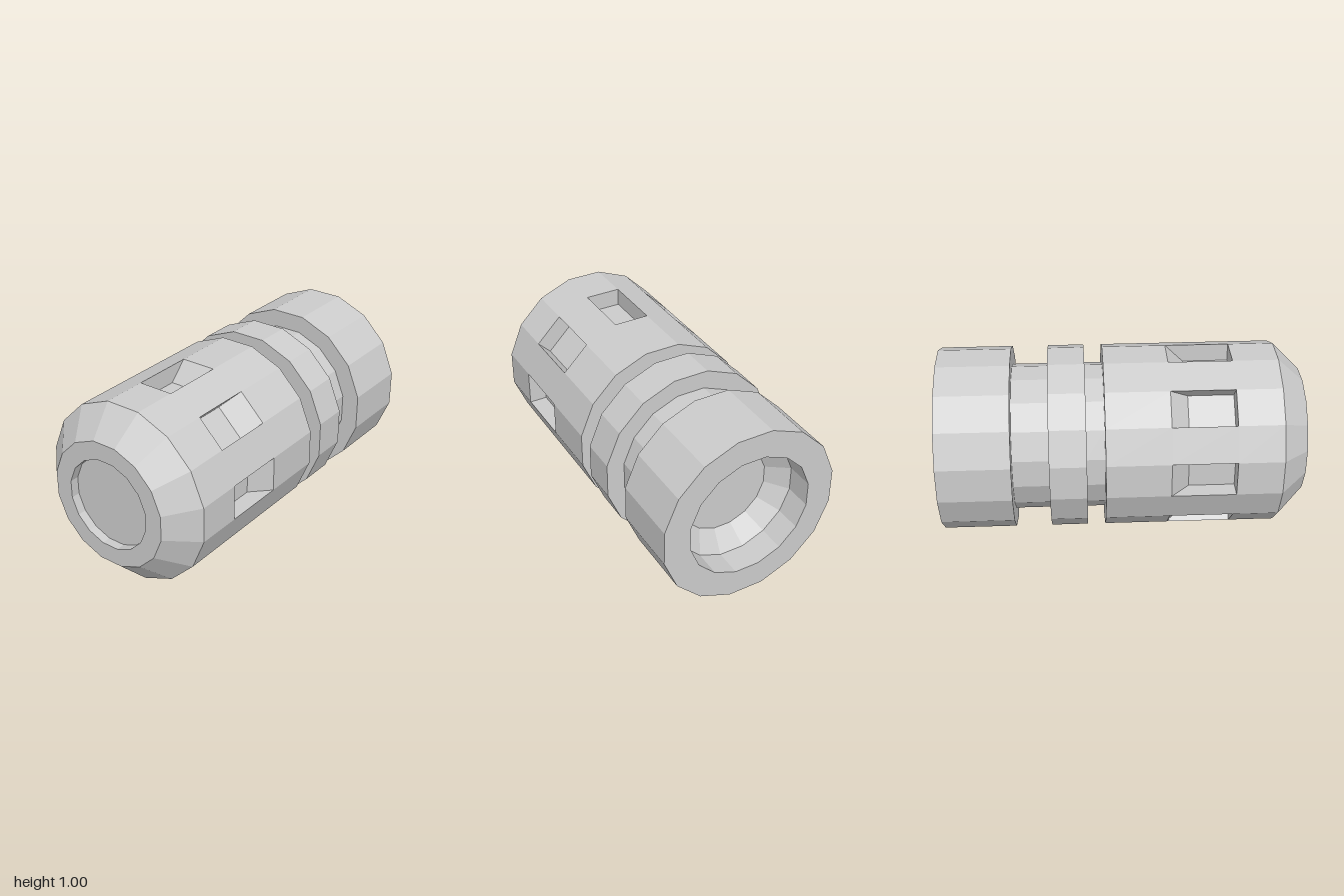
import * as THREE from 'three';

const SIDES = 16;
const R = 0.5;                                   // centre to flat of the body
const HALF = R * Math.tan(Math.PI / SIDES);      // half the width of one flat
const SLOT_BACK = 0.25, SLOT_FRONT = 0.6, DEPTH = 0.1;

const material = new THREE.MeshStandardMaterial({ color: 0xcccccc, flatShading: true });

// Faceted solid of revolution along z; profile = [flat radius, z], from back to front
function turned(name, profile) {
  const pts = profile.map(([r, z]) => new THREE.Vector2(r / Math.cos(Math.PI / SIDES), z));
  const lathe = new THREE.LatheGeometry(pts, SIDES, Math.PI / SIDES);
  lathe.rotateX(Math.PI / 2);
  const geo = lathe.toNonIndexed();
  geo.computeVertexNormals();
  const mesh = new THREE.Mesh(geo, material);
  mesh.name = name;
  return mesh;
}

// Flat-shaded geometry from a list of four-cornered faces
function quads(faces) {
  const pos = faces.flatMap(([a, b, c, d]) => [a, b, c, a, c, d].flat());
  const geo = new THREE.BufferGeometry();
  geo.setAttribute('position', new THREE.Float32BufferAttribute(pos, 3));
  geo.computeVertexNormals();
  return geo;
}

// Strip of faces across one flat, following a [y, z] path
function strip(path) {
  return path.slice(1).map((q, i) => {
    const p = path[i];
    return [[-HALF, ...p], [-HALF, ...q], [HALF, ...q], [HALF, ...p]];
  });
}

export function createModel() {
  const model = new THREE.Group();
  model.name = 'slottedCylinder';
  const body = new THREE.Group();
  body.name = 'body';
  body.position.y = R;
  model.add(body);

  // Rear body: stepped socket, rear collar, two grooves and the middle band
  body.add(turned('rearBody', [
    [0, -0.75], [0.25, -0.75], [0.35, -0.85], [0.35, -1], [R, -1],
    [R, -0.6], [0.4, -0.6], [0.4, -0.4], [R, -0.4],
    [R, -0.2], [0.4, -0.2], [0.4, -0.1], [R, -0.1], [R, SLOT_BACK],
  ]));

  // Chamfered nose with a shallow round recess
  body.add(turned('nose', [
    [R, SLOT_FRONT], [R, 0.85], [0.35, 1], [0.25, 1], [0.25, 0.95], [0, 0.95],
  ]));

  // Pocket with a ramped back end, open at the top
  const path = [[R, SLOT_BACK], [R - DEPTH, SLOT_BACK + DEPTH], [R - DEPTH, SLOT_FRONT], [R, SLOT_FRONT]];
  const slotGeo = quads([
    ...strip(path),
    path.map((p) => [HALF, ...p]),
    path.map((p) => [-HALF, ...p]).reverse(),
  ]);
  const panelGeo = quads(strip([[R, SLOT_BACK], [R, SLOT_FRONT]]));

  // Slots and plain panels alternate around the body
  for (let i = 0; i < SIDES; i++) {
    const isSlot = i % 2 === 0;
    const mesh = new THREE.Mesh(isSlot ? slotGeo : panelGeo, material);
    mesh.name = isSlot ? 'slot' : 'panel';
    mesh.rotation.z = (i * 2 * Math.PI) / SIDES;
    body.add(mesh);
  }
  return model;
}
